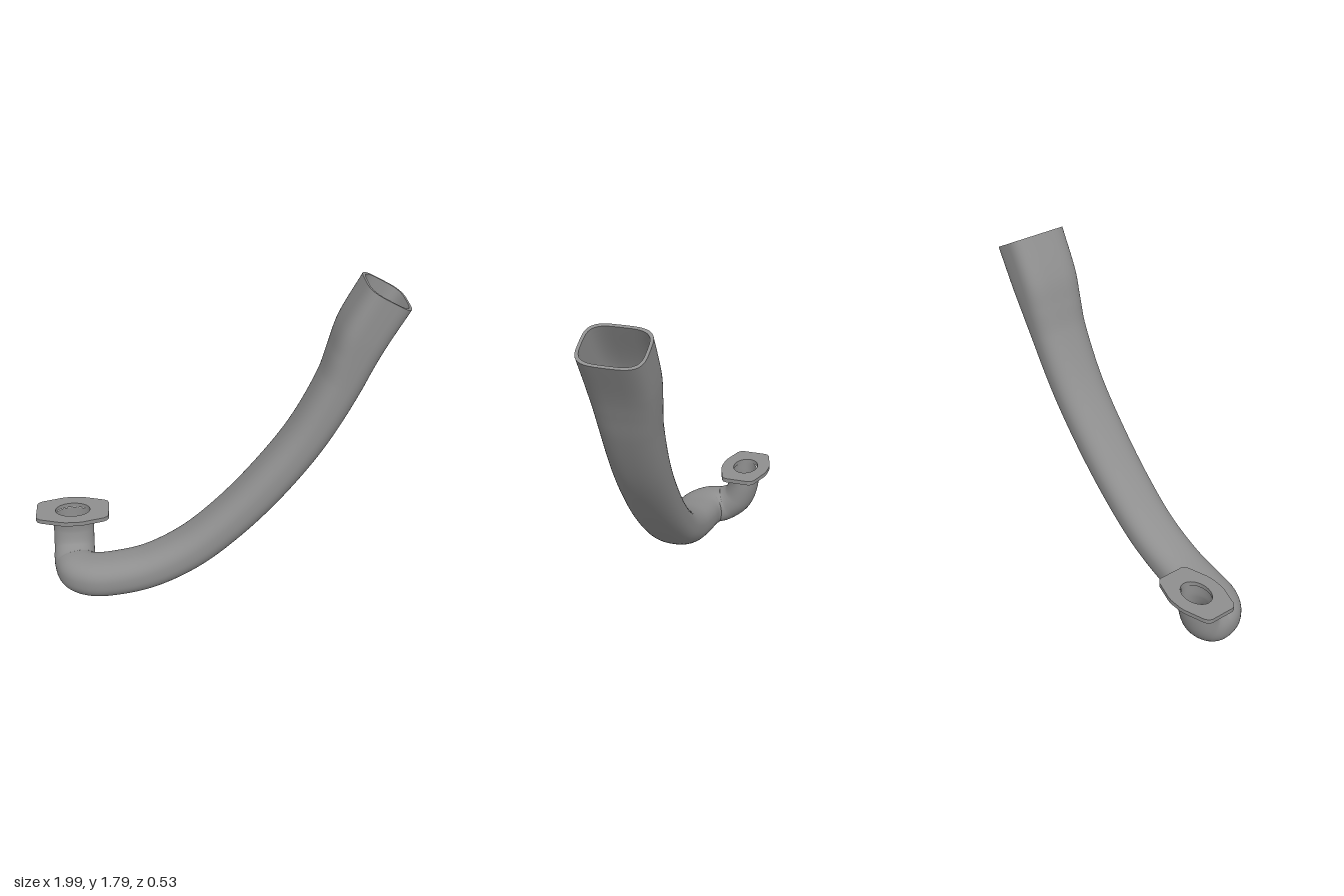
import * as THREE from 'three';

// Stations along the pipe: centre x, y, z, half width, half depth, squareness, wide-axis hint x, z
const STATIONS = [
  [-0.793, 0.365, -0.122, 0.113, 0.088, 2.0, 1, 0],
  [-0.793, 0.27, -0.118, 0.113, 0.088, 2.0, 1, 0],
  [-0.793, 0.175, -0.082, 0.113, 0.092, 2.1, 1, 0],
  [-0.788, 0.118, -0.005, 0.116, 0.098, 2.3, 1, -0.1],
  [-0.752, 0.109, 0.075, 0.125, 0.104, 2.4, 1, -0.7],
  [-0.675, 0.109, 0.115, 0.132, 0.107, 2.4, 0.3, -1],
  [-0.56, 0.12, 0.124, 0.135, 0.107, 2.4, 0, -1],
  [-0.37, 0.162, 0.124, 0.135, 0.107, 2.4, 0, -1],
  [-0.145, 0.272, 0.114, 0.138, 0.107, 2.4, 0, -1],
  [0.07, 0.446, 0.103, 0.142, 0.108, 2.4, 0, -1],
  [0.285, 0.672, 0.09, 0.146, 0.11, 2.4, 0, -1],
  [0.49, 0.942, 0.075, 0.15, 0.111, 2.4, 0, -1],
  [0.648, 1.235, 0.063, 0.157, 0.115, 2.6, 0, -1],
  [0.708, 1.39, 0.057, 0.166, 0.123, 3.0, 0, -1],
  [0.758, 1.515, 0.054, 0.172, 0.131, 3.4, 0, -1],
  [0.875, 1.728, 0.053, 0.174, 0.133, 3.6, 0, -1],
];
const STEPS = 120, SIDES = 48, WALL = 0.016;

const curveOf = (pick, type) =>
  new THREE.CatmullRomCurve3(STATIONS.map((s) => new THREE.Vector3(...pick(s))), false, type);
const path = curveOf((s) => [s[0], s[1], s[2]], 'centripetal');
const sizes = curveOf((s) => [s[3], s[4], s[5]], 'catmullrom');
const hints = curveOf((s) => [s[6], 0, s[7]], 'catmullrom');

// One superellipse cross-section, shrunk by inset
function ring(t, inset) {
  const p = path.getPoint(t), size = sizes.getPoint(t);
  const T = path.getTangent(t);
  const A = hints.getPoint(t);
  A.addScaledVector(T, -A.dot(T)).normalize();
  const B = new THREE.Vector3().crossVectors(T, A);
  const power = (v) => Math.sign(v) * Math.pow(Math.abs(v), 2 / size.z);
  return Array.from({ length: SIDES }, (_, j) => {
    const a = (j / SIDES) * Math.PI * 2;
    return p.clone()
      .addScaledVector(A, (size.x - inset) * power(Math.cos(a)))
      .addScaledVector(B, (size.y - inset) * power(Math.sin(a)));
  });
}

// Joins consecutive rings into a closed-around skin
function skin(rings, flip = false) {
  const index = [];
  for (let i = 0; i < rings.length - 1; i++) {
    for (let j = 0; j < SIDES; j++) {
      const k = (j + 1) % SIDES;
      const a = i * SIDES + j, b = i * SIDES + k, c = a + SIDES, d = b + SIDES;
      if (flip) index.push(a, c, b, b, c, d);
      else index.push(a, b, c, b, d, c);
    }
  }
  const g = new THREE.BufferGeometry().setFromPoints(rings.flat());
  g.setIndex(index);
  g.computeVertexNormals();
  return g;
}

export function createModel() {
  const group = new THREE.Group();
  const metal = new THREE.MeshStandardMaterial({ color: 0x8f8f8f });
  metal.name = 'grey metal';
  const add = (name, geometry) => {
    const mesh = new THREE.Mesh(geometry, metal);
    mesh.name = name;
    group.add(mesh);
    return mesh;
  };

  // Hollow pipe: outer wall, inner wall and the rim of the open end
  const sweep = (inset) => Array.from({ length: STEPS + 1 }, (_, i) => ring(i / STEPS, inset));
  add('pipeOuterWall', skin(sweep(0)));
  add('pipeInnerWall', skin(sweep(WALL), true));
  add('pipeRim', skin([ring(1, 0), ring(1, WALL)]));

  // Mounting flange: stretched octagon with bowed long sides and an oval hole
  const quarter = [[0.203, 0.068], [0.196, 0.085], [0.178, 0.099], [0.065, 0.134], [0.035, 0.139]];
  const mirrored = quarter.map(([x, y]) => [-x, y]).reverse();
  const half = [...quarter, ...mirrored];
  const outline = [...half, ...half.map(([x, y]) => [-x, -y])];
  const shape = new THREE.Shape(outline.map(([x, y]) => new THREE.Vector2(x, y)));
  const hole = new THREE.Path();
  hole.absellipse(0, 0, 0.097, 0.071, 0, Math.PI * 2, true);
  shape.holes.push(hole);
  const plate = new THREE.ExtrudeGeometry(shape, { depth: 0.024, bevelEnabled: false, curveSegments: 24 });
  plate.rotateX(-Math.PI / 2);
  add('mountingFlange', plate).position.set(-0.795, 0.361, -0.129);

  return group;
}
